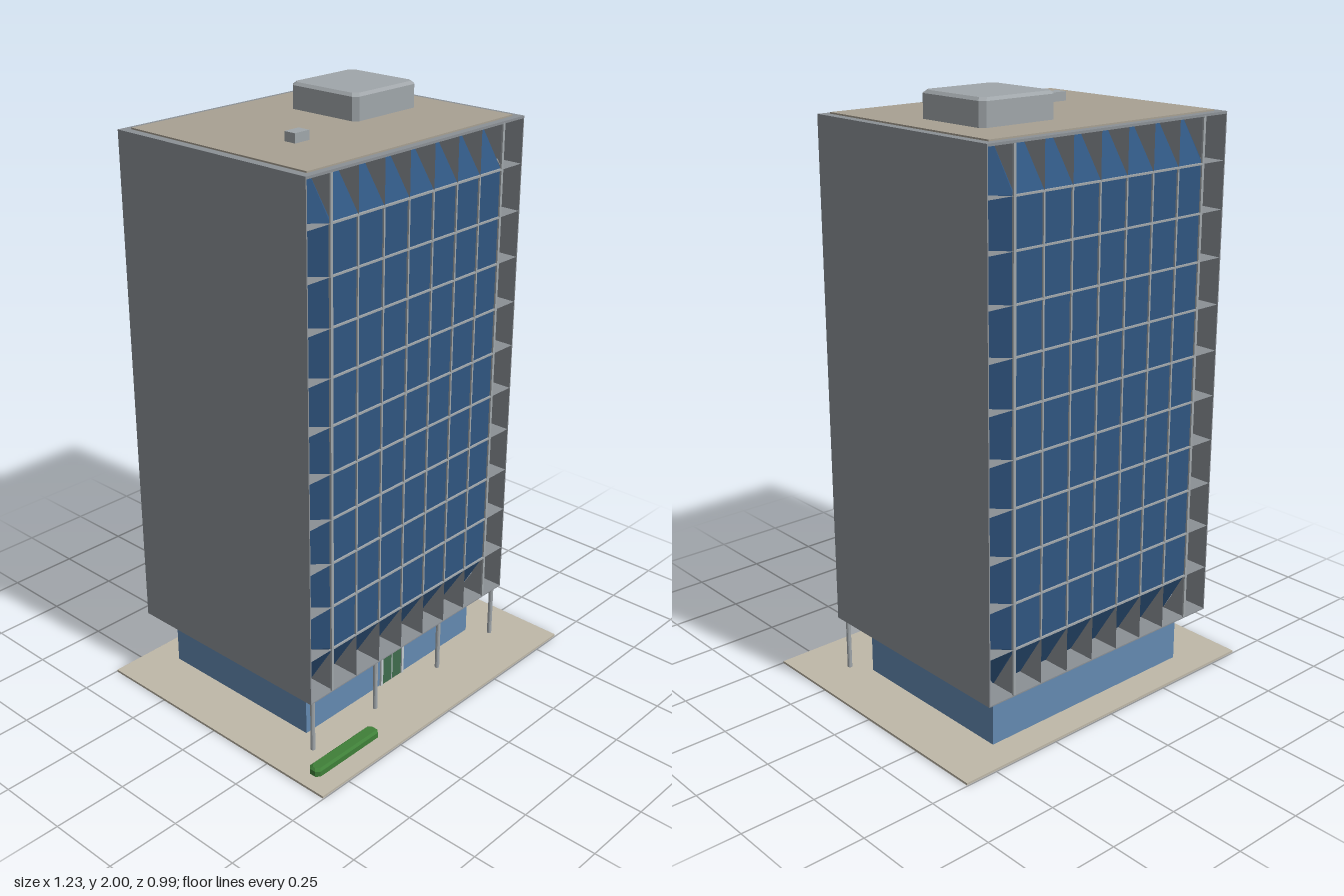
import * as THREE from 'three';

const mat = (color) => new THREE.MeshStandardMaterial({ color, flatShading: true, side: THREE.DoubleSide });
const grey = mat(0xa0a6aa), concrete = mat(0x8b9095), glass = mat(0x2f5580), lobbyGlass = mat(0x6389b0);
const paving = mat(0xbfb8a8), roofTan = mat(0xa8a193), green = mat(0x3f7f38), doorGreen = mat(0x3f6b4d), frame = mat(0xc4ccd0);

// Box given by its minimum and maximum corners
function box(parent, name, material, [x0, y0, z0], [x1, y1, z1]) {
  const mesh = new THREE.Mesh(new THREE.BoxGeometry(x1 - x0, y1 - y0, z1 - z0), material);
  mesh.position.set((x0 + x1) / 2, (y0 + y1) / 2, (z0 + z1) / 2);
  mesh.name = name;
  parent.add(mesh);
  return mesh;
}

// Block with chamfered upright corners and a slightly drawn-in top
function chamferedBlock(parent, name, material, [x0, y0, z0], [x1, y1, z1], c) {
  const w = (x1 - x0) / 2, d = (z1 - z0) / 2, h = y1 - y0;
  const ring = (y, inset) => {
    const a = w - inset, b = d - inset;
    return [[a, b - c], [a - c, b], [c - a, b], [-a, b - c], [-a, c - b], [c - a, -b], [a - c, -b], [a, c - b]].map(([x, z]) => [x, y, z]);
  };
  const rings = [ring(0, 0), ring(h - c * 0.6, 0), ring(h, c * 0.6)];
  const tris = [];
  for (let i = 0; i < 8; i++) {
    const j = (i + 1) % 8;
    for (let k = 0; k < 2; k++) {
      const [p, q] = [rings[k], rings[k + 1]];
      tris.push(p[i], q[j], p[j], p[i], q[i], q[j]);
    }
    tris.push([0, h, 0], rings[2][j], rings[2][i], [0, 0, 0], rings[0][i], rings[0][j]);
  }
  const mesh = triMesh(parent, name, material, tris);
  mesh.position.set((x0 + x1) / 2, y0, (z0 + z1) / 2);
}

function triMesh(parent, name, material, points) {
  const g = new THREE.BufferGeometry();
  g.setAttribute('position', new THREE.Float32BufferAttribute(points.flat(), 3));
  g.computeVertexNormals();
  const mesh = new THREE.Mesh(g, material);
  mesh.name = name;
  parent.add(mesh);
  return mesh;
}

// Tower limits, and the flat middle of each glazed face
const X = 0.492, ZF = 0.33, ZB = -0.46, Y0 = 0.2, Y1 = 1.905;
const CX = 0.39, CY0 = 0.36, CY1 = 1.757, DEPTH = 0.1;
const COLS = 7, ROWS = 9;

// Glazed face: flat centre, four bands sloping back to the edges, triangular fins
function facade() {
  const f = new THREE.Group();
  const zc = -0.006, zb = -DEPTH, e = X - 0.004;
  const skin = [];
  const quad = (a, b, c, d) => skin.push(a, b, c, a, c, d);
  const bl = [-CX, CY0, zc], br = [CX, CY0, zc], tr = [CX, CY1, zc], tl = [-CX, CY1, zc];
  quad(bl, br, tr, tl);
  quad(tl, tr, [CX, Y1, zb], [-CX, Y1, zb]);
  quad([-CX, Y0, zb], [CX, Y0, zb], br, bl);
  quad([-e, CY0, zb], bl, tl, [-e, CY1, zb]);
  quad(br, [e, CY0, zb], [e, CY1, zb], tr);
  skin.push(bl, [-e, CY0, zb], [-CX, Y0, zb], br, [CX, Y0, zb], [e, CY0, zb]);
  skin.push(tl, [-CX, Y1, zb], [-e, CY1, zb], tr, [e, CY1, zb], [CX, Y1, zb]);
  triMesh(f, 'curtainWall', glass, skin);

  const t = 0.003;
  for (let i = 0; i <= COLS; i++) {
    const x = -CX + (2 * CX * i) / COLS, w = i % COLS ? t : 0.005;
    box(f, 'mullion', grey, [x - w, CY0, zc - 0.002], [x + w, CY1, 0]);
    // upright fins above and below
    for (const [inner, outer] of [[CY1, Y1], [CY0, Y0]]) {
      triMesh(f, 'uprightFin', concrete, [[x, inner, 0], [x, outer, 0], [x, outer, zb]]);
    }
    if (i % COLS === 0) {
      box(f, 'edgePost', grey, [x - w, Y0, -0.006], [x + w, CY0, 0]);
      box(f, 'edgePost', grey, [x - w, CY1, -0.006], [x + w, Y1, 0]);
    }
  }
  for (let j = 0; j <= ROWS; j++) {
    const y = CY0 + ((CY1 - CY0) * j) / ROWS;
    box(f, 'transom', grey, [-CX, y - t, zc - 0.002], [CX, y + t, 0]);
    // level fins at both sides
    for (const s of [-1, 1]) {
      triMesh(f, 'levelFin', concrete, [[s * CX, y, 0], [s * e, y, 0], [s * e, y, zb]]);
    }
  }
  return f;
}

export function createModel() {
  const model = new THREE.Group();
  model.name = 'officeTower';

  // Ground and lobby
  box(model, 'plaza', paving, [-0.615, 0, -0.497], [0.615, 0.008, 0.497]);
  box(model, 'lobby', lobbyGlass, [-0.422, 0.008, -0.39], [0.418, Y0, 0.24]);
  chamferedBlock(model, 'hedge', green, [-0.563, 0.008, 0.38], [-0.268, 0.034, 0.427], 0.012);

  // Entrance
  const entrance = new THREE.Group();
  entrance.name = 'entrance';
  model.add(entrance);
  for (const s of [-1, 1]) {
    box(entrance, 'doorPost', frame, [s * 0.054 - 0.005, 0.008, 0.238], [s * 0.054 + 0.005, 0.13, 0.247]);
    box(entrance, 'doorLeaf', doorGreen, [s * 0.025 - 0.023, 0.008, 0.238], [s * 0.025 + 0.023, 0.116, 0.243]);
  }
  box(entrance, 'doorMiddle', frame, [-0.002, 0.008, 0.238], [0.002, 0.116, 0.244]);
  box(entrance, 'doorHead', frame, [-0.05, 0.116, 0.238], [0.05, 0.122, 0.245]);

  // Front columns
  for (const x of [-0.467, -0.165, 0.163, 0.463]) {
    const column = new THREE.Mesh(new THREE.CylinderGeometry(0.008, 0.008, 0.194, 12), grey);
    column.position.set(x, 0.105, 0.313);
    column.name = 'column';
    model.add(column);
  }

  // Tower shell: side walls and floor and roof slabs
  for (const s of [-1, 1]) {
    const a = s * X, b = s * (X - 0.004);
    box(model, 'sideWall', concrete, [Math.min(a, b), Y0, ZB], [Math.max(a, b), 1.91, ZF]);
  }
  box(model, 'floorSlab', concrete, [-X, Y0, ZB], [X, Y0 + 0.004, ZF]);
  box(model, 'roofSlab', concrete, [-X, 1.902, ZB], [X, 1.91, ZF]);
  box(model, 'roofDeck', roofTan, [-0.463, 1.908, -0.431], [0.461, 1.915, 0.306]);

  // Glazed front and back
  const front = facade();
  front.name = 'frontFacade';
  front.position.z = ZF;
  const back = facade();
  back.name = 'backFacade';
  back.position.z = ZB;
  back.rotation.y = Math.PI;
  model.add(front, back);

  // Rooftop plant
  chamferedBlock(model, 'plantRoom', grey, [0.05, 1.91, -0.267], [0.341, 2, 0.018], 0.016);
  box(model, 'roofVent', grey, [-0.267, 1.91, 0.026], [-0.207, 1.945, 0.069]);
  return model;
}
